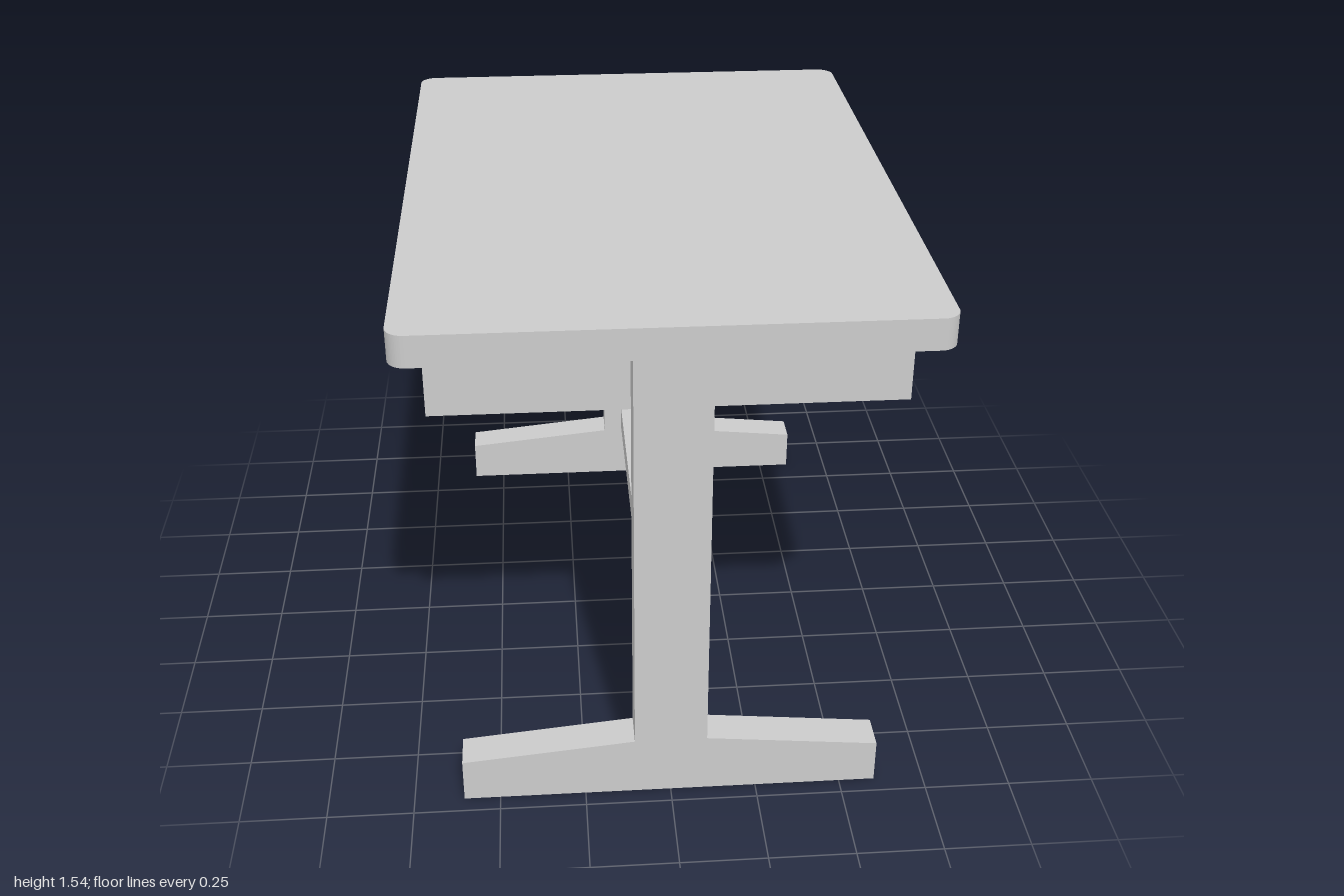
import * as THREE from 'three';

export function createModel() {
  const model = new THREE.Group();
  model.name = 'desk';
  const material = new THREE.MeshStandardMaterial({ color: 0xcccccc });

  const add = (name, geometry, x = 0, y = 0, z = 0) => {
    const mesh = new THREE.Mesh(geometry, material);
    mesh.name = name;
    mesh.position.set(x, y, z);
    model.add(mesh);
    return mesh;
  };
  const extrude = (shape, depth) =>
    new THREE.ExtrudeGeometry(shape, { depth, bevelEnabled: false, curveSegments: 8 });
  const polygon = (points) => new THREE.Shape(points.map(([x, y]) => new THREE.Vector2(x, y)));
  const rectangle = (w, y0, y1) => polygon([[-w, y0], [w, y0], [w, y1], [-w, y1]]);

  // Table top with rounded corners
  const X = 0.72, Z = 1, R = 0.05;
  const topShape = new THREE.Shape();
  topShape.absarc(X - R, Z - R, R, 0, Math.PI / 2);
  topShape.absarc(-X + R, Z - R, R, Math.PI / 2, Math.PI);
  topShape.absarc(-X + R, -Z + R, R, Math.PI, Math.PI * 1.5);
  topShape.absarc(X - R, -Z + R, R, Math.PI * 1.5, Math.PI * 2);
  add('tableTop', extrude(topShape, 0.09).rotateX(-Math.PI / 2), 0, 1.455, 0);

  // Storage box: a slotted shell opening toward +x, closed by a back panel
  const boxX = 0.643, boxZ = 0.845, y0 = 1.23, y1 = 1.455, wall = 0.06;
  const shell = rectangle(boxZ, y0, y1);
  shell.holes.push(rectangle(0.69, 1.28, 1.405));
  add('storageBox', extrude(shell, 2 * boxX - wall).rotateY(Math.PI / 2), -boxX + wall, 0, 0);
  add('storageBack', new THREE.BoxGeometry(wall, y1 - y0, 2 * boxZ),
    -boxX + wall / 2, (y0 + y1) / 2, 0);

  // End supports: post and tapered foot in one outline
  const support = polygon([
    [-0.605, 0], [0.605, 0], [0.605, 0.135], [0.105, 0.185],
    [0.105, 1.455], [-0.105, 1.455], [-0.105, 0.185], [-0.605, 0.135],
  ]);
  const supportGeometry = extrude(support, 0.105);
  add('frontSupport', supportGeometry, 0, 0, 0.845);
  add('backSupport', supportGeometry, 0, 0, -0.95);

  // Stretcher bar between the supports
  add('stretcher', new THREE.BoxGeometry(0.085, 0.09, 1.69), 0, 0.245, 0);

  return model;
}
